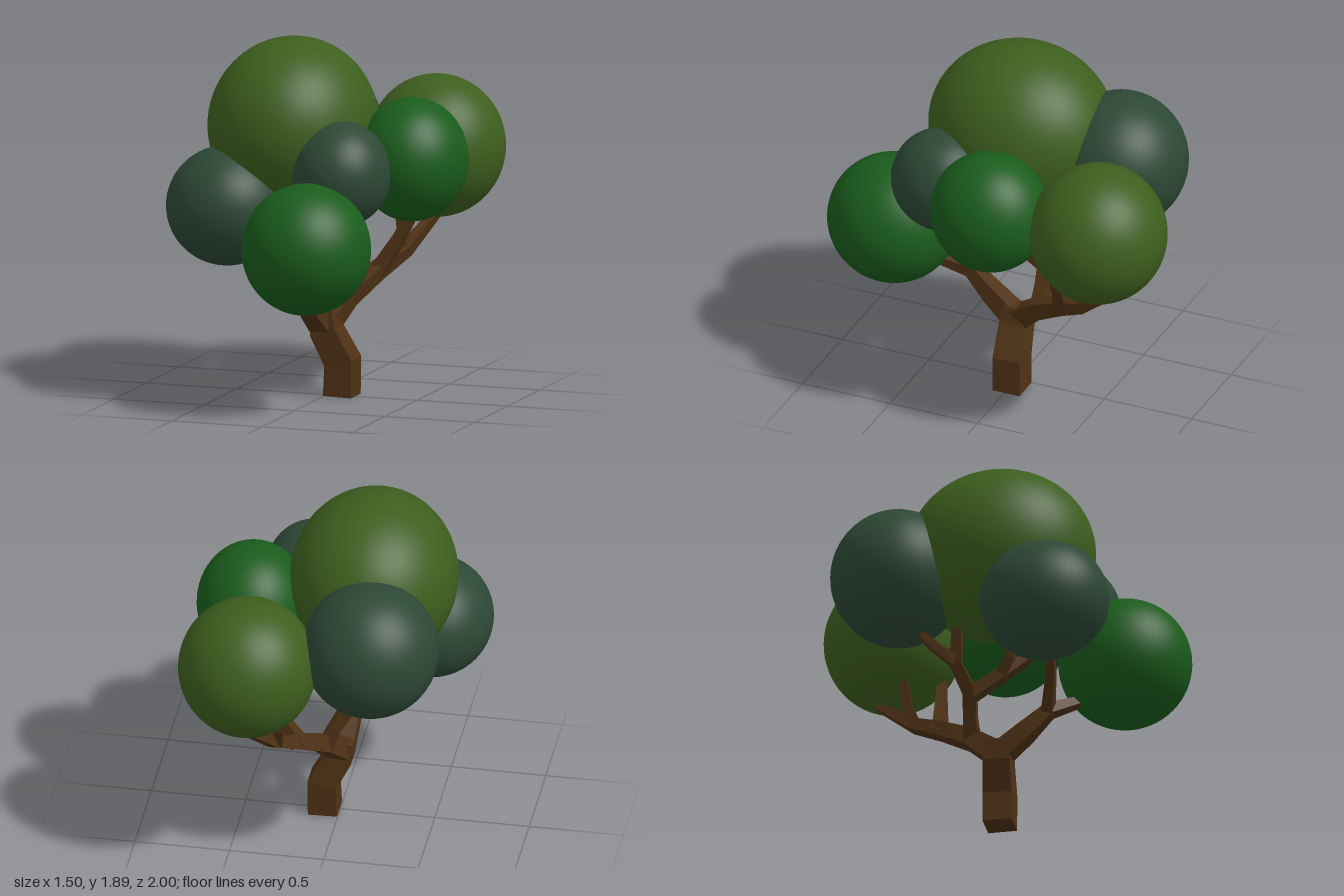
import * as THREE from 'three';

const bark = new THREE.MeshStandardMaterial({ color: 0x4f3216, flatShading: true });
const leaf = {
  olive: new THREE.MeshStandardMaterial({ color: 0x3d5f1e }),
  green: new THREE.MeshStandardMaterial({ color: 0x1a5c1c }),
  pine: new THREE.MeshStandardMaterial({ color: 0x2d4836 }),
};

// Square-section limb through points [x, y, z, halfWidth], capped at both ends
function limb(name, rows) {
  const pts = rows.map(([x, y, z]) => new THREE.Vector3(x, y, z));
  const positions = [], index = [], last = pts.length - 1;
  pts.forEach((p, i) => {
    const t = new THREE.Vector3();
    if (i > 0) t.add(p.clone().sub(pts[i - 1]).normalize());
    if (i < last) t.add(pts[i + 1].clone().sub(p).normalize());
    t.normalize();
    const u = new THREE.Vector3(1, 0, 0).addScaledVector(t, -t.x).normalize();
    const v = new THREE.Vector3().crossVectors(t, u);
    for (const [a, b] of [[-1, -1], [1, -1], [1, 1], [-1, 1]]) {
      const q = p.clone().addScaledVector(u, a * rows[i][3]).addScaledVector(v, b * rows[i][3]);
      positions.push(q.x, q.y, q.z);
    }
  });
  for (let i = 0; i < last; i++) {
    for (let k = 0; k < 4; k++) {
      const a = i * 4 + k, b = i * 4 + (k + 1) % 4;
      index.push(a, b, b + 4, a, b + 4, a + 4);
    }
  }
  const e = last * 4;
  index.push(0, 2, 1, 0, 3, 2, e, e + 1, e + 2, e, e + 2, e + 3);
  const geometry = new THREE.BufferGeometry();
  geometry.setAttribute('position', new THREE.Float32BufferAttribute(positions, 3));
  geometry.setIndex(index);
  geometry.computeVertexNormals();
  const mesh = new THREE.Mesh(geometry, bark);
  mesh.name = name;
  return mesh;
}

// Slightly stretched ball of leaves
function foliage(name, material, center, radii) {
  const mesh = new THREE.Mesh(new THREE.SphereGeometry(1, 56, 36), material);
  mesh.name = name;
  mesh.position.set(...center);
  mesh.scale.set(...radii);
  return mesh;
}

export function createModel() {
  const tree = new THREE.Group();
  tree.name = 'tree';

  const branches = new THREE.Group();
  branches.name = 'branches';
  branches.add(
    limb('trunk', [[0.08, 0, -0.01, 0.077], [0.085, 0.18, -0.01, 0.077], [0, 0.34, 0, 0.071], [-0.015, 0.44, 0, 0.06]]),
    // front limb and its twig
    limb('frontLimb', [[-0.015, 0.37, 0.02, 0.055], [-0.03, 0.47, 0.15, 0.048], [-0.04, 0.58, 0.28, 0.035], [0.04, 0.65, 0.41, 0.025], [0.08, 0.75, 0.52, 0.02]]),
    limb('frontTwig', [[-0.04, 0.56, 0.27, 0.032], [-0.16, 0.72, 0.31, 0.024], [-0.28, 0.88, 0.33, 0.02]]),
    // back limb and its twigs
    limb('backLimb', [[-0.01, 0.37, -0.01, 0.058], [0.06, 0.5, -0.16, 0.048], [0.16, 0.61, -0.34, 0.04], [0.26, 0.7, -0.5, 0.032], [0.36, 0.87, -0.7, 0.022], [0.4, 0.95, -0.76, 0.018]]),
    limb('backInnerTwig', [[0.16, 0.6, -0.34, 0.04], [0.27, 0.78, -0.36, 0.03], [0.4, 1.02, -0.38, 0.022]]),
    limb('backOuterTwig', [[0.25, 0.69, -0.49, 0.032], [0.23, 0.8, -0.53, 0.025], [0.2, 0.98, -0.55, 0.02]]),
    // middle limb rising from the back limb
    limb('middleLimb', [[0.05, 0.48, -0.15, 0.042], [0, 0.6, -0.15, 0.034], [-0.06, 0.71, -0.14, 0.036], [-0.14, 0.85, -0.2, 0.032], [-0.19, 1.05, -0.18, 0.025]]),
    limb('middleBackTwig', [[-0.14, 0.86, -0.2, 0.03], [-0.22, 0.92, -0.3, 0.024], [-0.28, 1.02, -0.4, 0.02]]),
    limb('middleFrontTwig', [[-0.06, 0.7, -0.13, 0.035], [-0.06, 0.8, 0.03, 0.032], [-0.03, 0.9, 0.16, 0.025], [0.05, 1.05, 0.26, 0.02]]),
    limb('middleUpperTwig', [[-0.06, 0.79, 0.03, 0.03], [-0.1, 0.88, 0.08, 0.024], [-0.12, 1.06, 0.08, 0.02]]),
  );
  tree.add(branches);

  const crown = new THREE.Group();
  crown.name = 'crown';
  crown.add(
    foliage('topFoliage', leaf.olive, [-0.17, 1.43, 0.045], [0.44, 0.46, 0.5]),
    foliage('backLeftFoliage', leaf.olive, [0.38, 1.235, -0.638], [0.362, 0.375, 0.362]),
    foliage('leftFoliage', leaf.green, [0.455, 1.265, -0.05], [0.292, 0.325, 0.315]),
    foliage('frontFoliage', leaf.green, [0.12, 0.885, 0.65], [0.337, 0.346, 0.35]),
    foliage('frontRightFoliage', leaf.pine, [-0.43, 1.033, 0.33], [0.32, 0.315, 0.34]),
    foliage('middleFrontFoliage', leaf.pine, [0.2, 1.235, 0.33], [0.255, 0.277, 0.277]),
    foliage('backRightFoliage', leaf.pine, [-0.245, 1.315, -0.485], [0.358, 0.365, 0.355]),
  );
  tree.add(crown);
  return tree;
}
